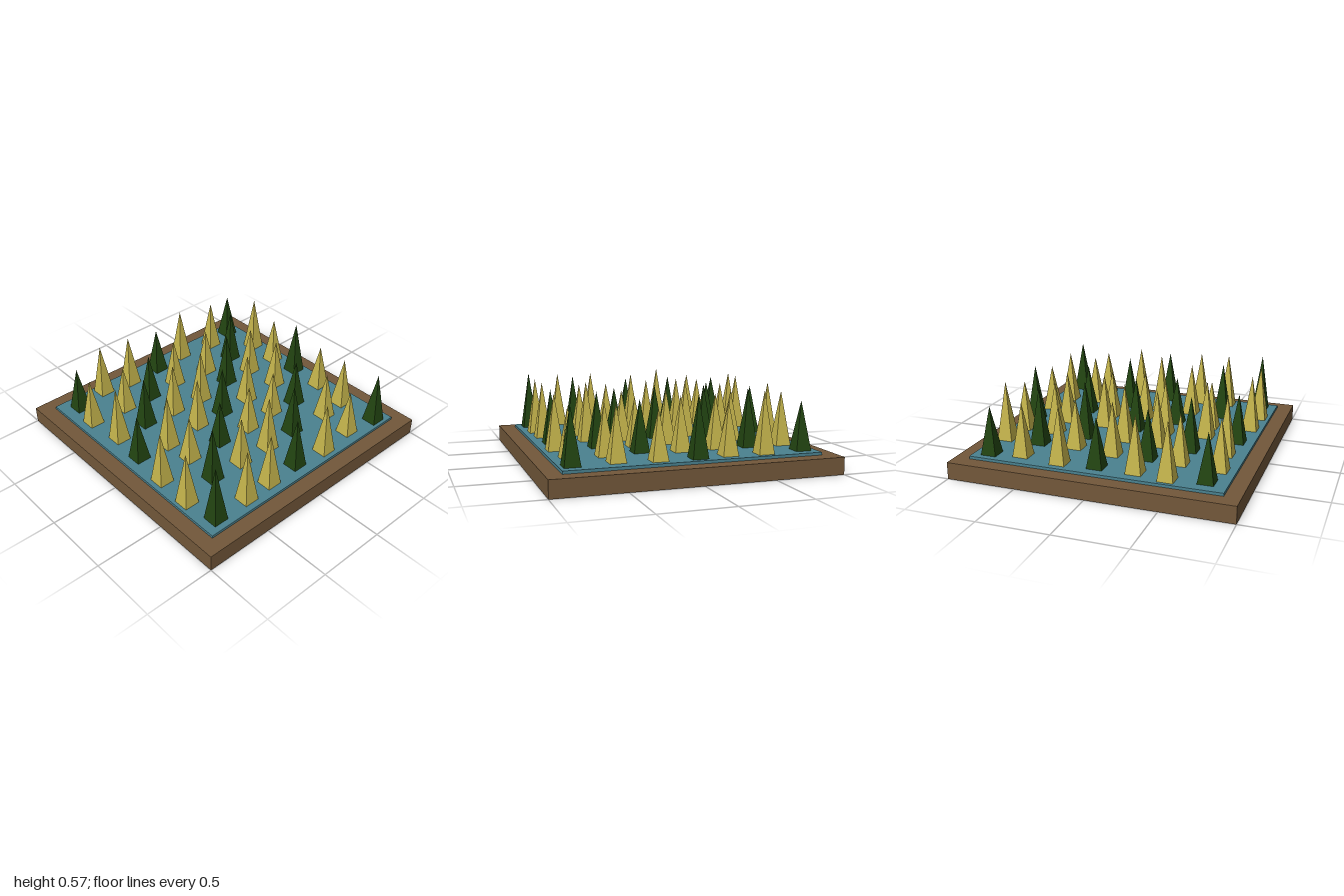
import * as THREE from 'three';

const material = (name, color) => {
  const m = new THREE.MeshStandardMaterial({ color });
  m.name = name;
  return m;
};

// Each row runs left to right along x: x, z and tip height of each spike
const ROWS = [
  [-.79, -.77, .48, -.5, -.8, .565, -.25, -.78, .5, -.03, -.8, .555, .24, -.79, .48, .51, -.75, .52, .81, -.77, .53],
  [-.75, -.55, .52, -.5, -.54, .55, -.26, -.53, .52, 0, -.55, .52, .27, -.49, .5, .53, -.54, .5, .77, -.52, .48],
  [-.79, -.26, .545, -.49, -.27, .5, -.27, -.29, .555, 0, -.25, .53, .24, -.28, .49, .5, -.23, .53, .8, -.24, .53],
  [-.77, 0, .49, -.53, .02, .52, -.24, 0, .555, 0, 0, .53, .26, -.02, .5, .51, .03, .57, .77, .02, .525],
  [-.77, .27, .54, -.52, .27, .5, -.26, .25, .54, -.01, .23, .54, .24, .24, .49, .5, .28, .52, .78, .28, .545],
  [-.81, .5, .54, -.53, .5, .5, -.28, .5, .53, .02, .53, .555, .23, .51, .49, .49, .53, .555, .79, .5, .545],
  [-.76, .75, .48, -.55, .78, .505, -.27, .75, .57, -.01, .77, .495, .28, .8, .545, .55, .81, .545, .79, .77, .565],
];

export function createModel() {
  const group = new THREE.Group();
  const brown = material('brown earth', 0x73583a);
  const teal = material('teal water', 0x4a8290);
  const straw = material('straw yellow', 0xc4b44c);
  const green = material('dark green', 0x224411);

  const slab = (name, size, bottom, top, mat) => {
    const mesh = new THREE.Mesh(new THREE.BoxGeometry(size, top - bottom, size), mat);
    mesh.position.y = (bottom + top) / 2;
    mesh.name = name;
    group.add(mesh);
  };

  // Square base with a raised sheet of water
  slab('base', 2, 0, 0.12, brown);
  slab('waterSheet', 1.78, 0.12, 0.14, teal);

  // Four-sided spikes, every third one green along the diagonals
  const foot = 0.135;
  const spike = new THREE.ConeGeometry(0.056 * Math.SQRT2, 1, 4).toNonIndexed();
  spike.rotateY(Math.PI / 4);
  spike.translate(0, 0.5, 0);
  spike.computeVertexNormals();
  const spikes = new THREE.Group();
  spikes.name = 'plants';
  ROWS.forEach((row, j) => {
    for (let i = 0; i < 7; i++) {
      const [x, z, tip] = row.slice(i * 3, i * 3 + 3);
      const dark = (i + 2 * j) % 3 === 0;
      const mesh = new THREE.Mesh(spike, dark ? green : straw);
      mesh.name = dark ? 'greenPlant' : 'yellowPlant';
      mesh.position.set(x, foot, z);
      mesh.scale.y = tip - foot;
      spikes.add(mesh);
    }
  });
  group.add(spikes);
  return group;
}
